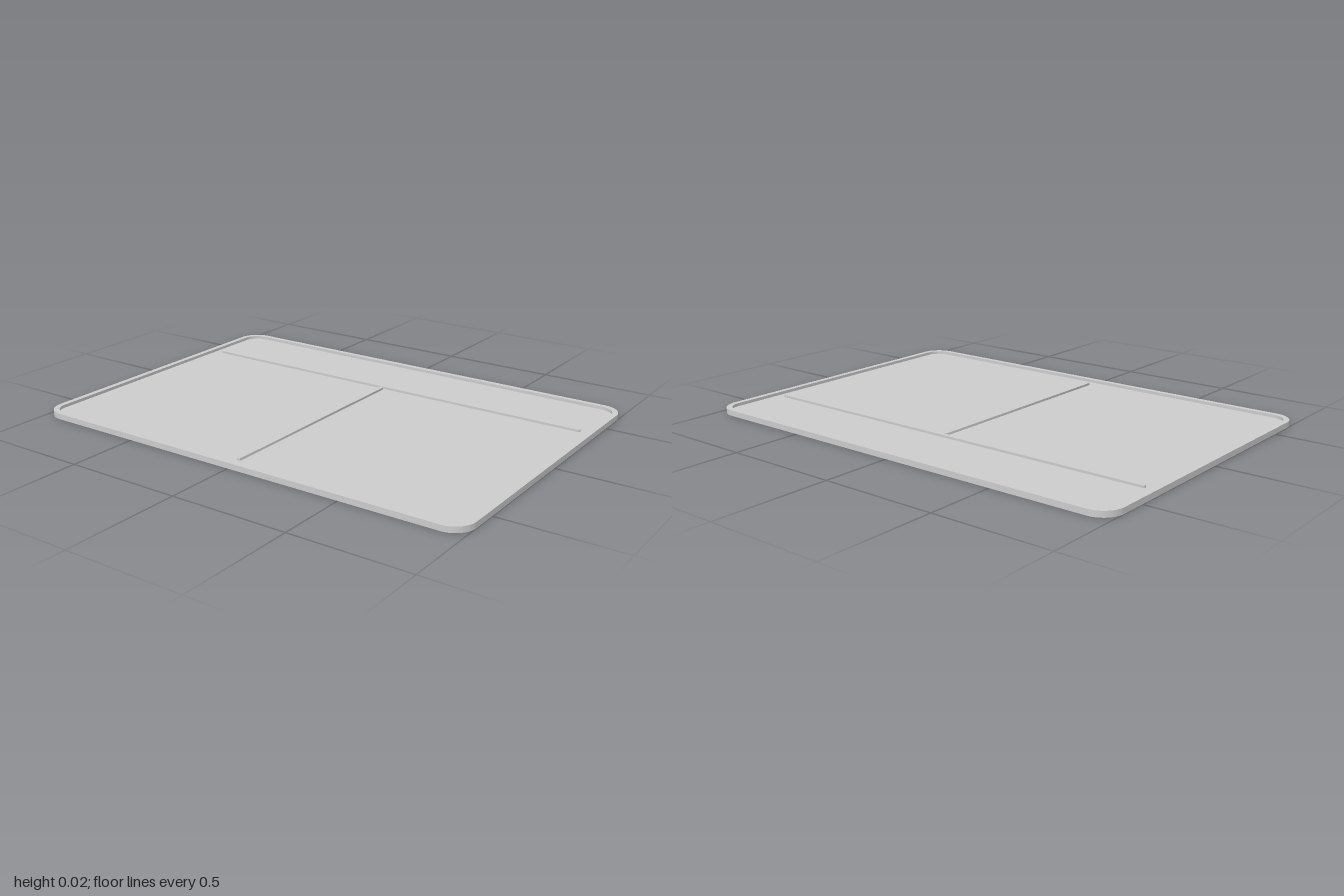
import * as THREE from 'three';
import { toCreasedNormals } from 'three/addons/utils/BufferGeometryUtils.js';

const HALF_X = 1, HALF_Z = 0.7, CORNER = 0.09;
const HEIGHT = 0.024, FLOOR = 0.011, RIM = 0.024;

const material = new THREE.MeshStandardMaterial({ color: 0xcccccc });

// Rounded rectangle with half sizes a, b and corner radius r
function roundedRect(a, b, r, Type = THREE.Shape) {
  const s = new Type();
  s.absarc(a - r, b - r, r, 0, Math.PI / 2);
  s.absarc(-a + r, b - r, r, Math.PI / 2, Math.PI);
  s.absarc(-a + r, -b + r, r, Math.PI, Math.PI * 1.5);
  s.absarc(a - r, -b + r, r, Math.PI * 1.5, Math.PI * 2);
  s.closePath();
  return s;
}

// Flat shape raised from y0 to y1
function slab(name, shape, y0, y1) {
  const geo = new THREE.ExtrudeGeometry(shape, { depth: y1 - y0, bevelEnabled: false, curveSegments: 10 });
  geo.rotateX(-Math.PI / 2).translate(0, y0, 0);
  const mesh = new THREE.Mesh(toCreasedNormals(geo, 0.6), material);
  mesh.name = name;
  return mesh;
}

export function createModel() {
  const tray = new THREE.Group();
  tray.name = 'tray';

  // Base plate
  tray.add(slab('basePlate', roundedRect(HALF_X, HALF_Z, CORNER), 0, FLOOR));

  // Raised rim around the edge
  const rim = roundedRect(HALF_X, HALF_Z, CORNER);
  rim.holes.push(roundedRect(HALF_X - RIM, HALF_Z - RIM, CORNER - RIM, THREE.Path));
  tray.add(slab('rim', rim, FLOOR, HEIGHT));

  // Low round-ended dividers forming a T
  const w = 0.009, top = 0.021;
  const longDivider = slab('longDivider', roundedRect(0.938, w, w * 0.98), FLOOR - 0.002, top);
  longDivider.position.z = -0.381;
  const z0 = -0.368, z1 = 0.638;
  const shortDivider = slab('shortDivider', roundedRect(w, (z1 - z0) / 2, w * 0.98), FLOOR - 0.002, top);
  shortDivider.position.z = (z0 + z1) / 2;
  tray.add(longDivider, shortDivider);

  return tray;
}
